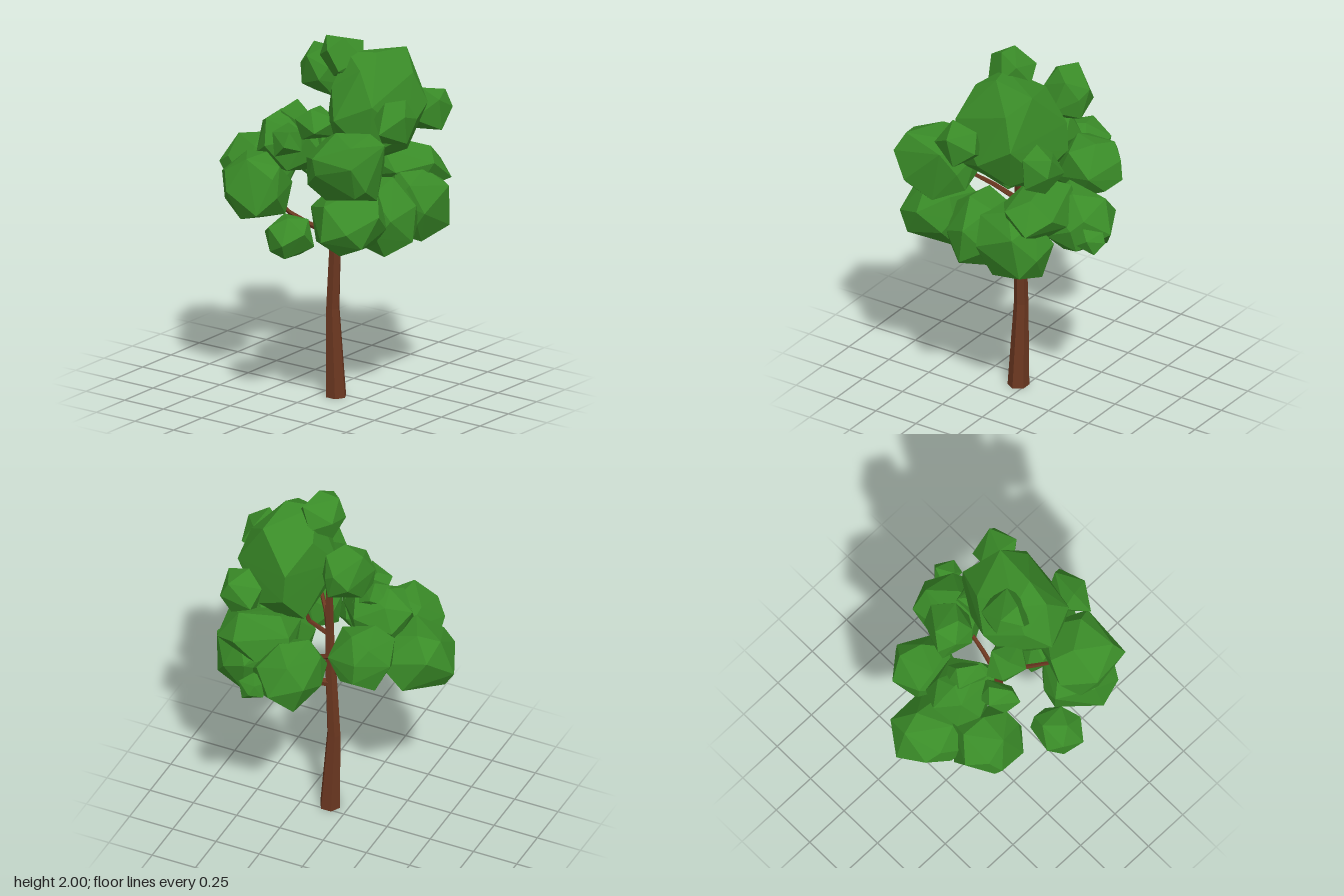
import * as THREE from 'three';
import { ConvexGeometry } from 'three/addons/geometries/ConvexGeometry.js';

const bark = new THREE.MeshStandardMaterial({ color: 0x6b3720, flatShading: true });
const leaf = new THREE.MeshStandardMaterial({ color: 0x3a8c28, flatShading: true });

function seeded(seed) {
  let s = seed * 7919 + 17;
  return () => (s = (s * 16807) % 2147483647) / 2147483647;
}

// Tapered limb through stations [x, y, z, radius]
function limb(name, stations, sides) {
  const n = stations.length - 1;
  const pts = stations.map(([x, y, z]) => new THREE.Vector3(x, y, z));
  const up = new THREE.Vector3(0, 1, 0);
  const turns = pts.map((p, i) => {
    const dir = pts[Math.min(i + 1, n)].clone().sub(pts[Math.max(i - 1, 0)]).normalize();
    return new THREE.Quaternion().setFromUnitVectors(up, p.y === 0 ? up : dir);
  });
  const geo = new THREE.CylinderGeometry(1, 1, n, sides, n, false, Math.PI / 6);
  const pos = geo.attributes.position;
  const v = new THREE.Vector3();
  for (let i = 0; i < pos.count; i++) {
    v.fromBufferAttribute(pos, i);
    const k = Math.round(v.y + n / 2);
    v.setY(0).multiplyScalar(stations[k][3]).applyQuaternion(turns[k]).add(pts[k]);
    pos.setXYZ(i, v.x, v.y, v.z);
  }
  geo.computeVertexNormals();
  const mesh = new THREE.Mesh(geo, bark);
  mesh.name = name;
  return mesh;
}

// Faceted irregular leaf clump filling a box given by its centre and half sizes
function clump([x, y, z, hx, hy, hz, count], index) {
  const rand = seeded(index + 1);
  const spin = rand() * 6.28;
  const pts = [];
  for (let i = 0; i < count; i++) {
    const h = 1 - (2 * (i + 0.5)) / count;
    const a = spin + i * 2.39996 + (rand() - 0.5) * 0.8;
    const r = Math.sqrt(1 - h * h) * (0.92 + rand() * 0.2);
    pts.push(new THREE.Vector3(Math.cos(a) * r, THREE.MathUtils.clamp(h + (rand() - 0.5) * 0.15, -0.75, 0.88), Math.sin(a) * r));
  }
  const box = new THREE.Box3().setFromPoints(pts);
  const mid = box.getCenter(new THREE.Vector3());
  const half = box.getSize(new THREE.Vector3()).multiplyScalar(0.5);
  const size = new THREE.Vector3(hx, hy, hz);
  pts.forEach((p) => p.sub(mid).divide(half).multiply(size));
  const mesh = new THREE.Mesh(new ConvexGeometry(pts), leaf);
  mesh.position.set(x, y, z);
  mesh.name = 'leafClump' + (index + 1);
  return mesh;
}

export function createModel() {
  const tree = new THREE.Group();
  tree.name = 'tree';

  // Trunk and branches
  const wood = new THREE.Group();
  wood.name = 'trunkAndBranches';
  wood.add(
    limb('trunk', [[0.098, 0, 0.04, 0.057], [0.075, 0.48, 0.038, 0.038], [0.09, 0.88, 0.035, 0.032],
      [0.098, 1.15, 0.035, 0.025], [0.1, 1.5, 0.035, 0.018]], 6),
    limb('leftLowBranch', [[0.1, 0.81, 0.03, 0.022], [0.18, 0.86, -0.05, 0.02], [0.28, 0.92, -0.13, 0.017],
      [0.38, 1.02, -0.17, 0.012]], 5),
    limb('rightLowBranch', [[0.09, 0.88, 0.035, 0.018], [-0.06, 0.92, 0.06, 0.016], [-0.15, 0.98, 0.11, 0.013],
      [-0.24, 1.08, 0.17, 0.01]], 5),
    limb('frontBranch', [[0.1, 1.1, 0.035, 0.016], [0.17, 1.19, 0.14, 0.013], [0.26, 1.28, 0.24, 0.01]], 5),
    limb('backBranch', [[0.1, 0.98, 0.03, 0.016], [0.12, 1.06, -0.1, 0.013], [0.14, 1.12, -0.25, 0.01]], 5),
    limb('upperBranch', [[0.1, 1.12, 0.035, 0.014], [0.19, 1.22, -0.02, 0.012], [0.24, 1.42, -0.06, 0.009]], 5),
  );
  tree.add(wood);

  // Foliage: x, y, z, half sizes, point count
  const foliage = new THREE.Group();
  foliage.name = 'foliage';
  [
    [0.28, 1.635, -0.03, 0.25, 0.295, 0.305, 22], // crown
    [0.15, 1.89, 0.05, 0.12, 0.11, 0.13, 12],
    [-0.085, 1.72, -0.15, 0.14, 0.14, 0.14, 16],
    [0.05, 1.51, 0.14, 0.12, 0.09, 0.1, 10],
    [0.53, 1.61, 0.13, 0.09, 0.115, 0.14, 9],
    [0.43, 1.55, -0.31, 0.11, 0.12, 0.11, 10],
    [0.38, 1.4, 0.34, 0.2, 0.175, 0.21, 20], // middle tier
    [0.36, 1.25, -0.24, 0.22, 0.13, 0.17, 16],
    [-0.17, 1.36, 0.06, 0.21, 0.16, 0.17, 16],
    [-0.16, 1.48, 0.03, 0.1, 0.09, 0.09, 9],
    [-0.08, 1.42, 0.22, 0.09, 0.08, 0.11, 9],
    [-0.41, 1.165, 0.05, 0.22, 0.165, 0.2, 18], // lower tier
    [-0.24, 1.17, 0.29, 0.19, 0.165, 0.18, 20],
    [-0.22, 1.25, -0.22, 0.17, 0.15, 0.17, 18],
    [0.15, 1.14, -0.38, 0.17, 0.16, 0.2, 18],
    [0.45, 1.09, -0.18, 0.165, 0.19, 0.2, 18],
    [0.42, 1.08, 0.06, 0.2, 0.21, 0.16, 18],
    [0.39, 1.1, 0.36, 0.21, 0.16, 0.185, 18],
    [0.11, 1.0, 0.47, 0.125, 0.11, 0.135, 16],
    [0.275, 1.11, -0.54, 0.07, 0.06, 0.07, 9],
  ].forEach((spec, i) => foliage.add(clump(spec, i)));
  tree.add(foliage);
  return tree;
}
